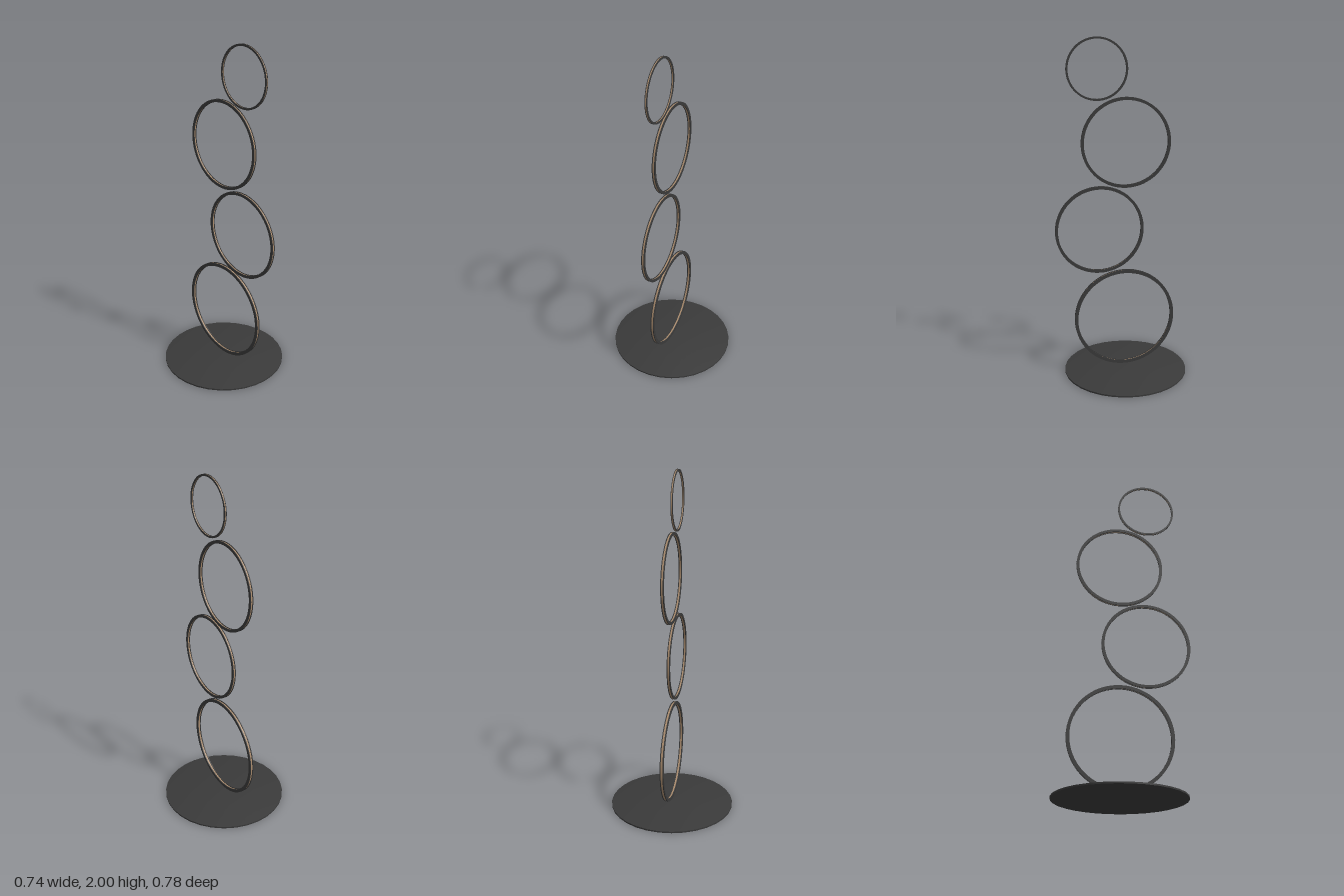
import * as THREE from 'three';
import { toCreasedNormals } from 'three/addons/utils/BufferGeometryUtils.js';

const dark = new THREE.MeshStandardMaterial({ color: 0x3a3a3a });
const bronze = new THREE.MeshStandardMaterial({ color: 0xa88a6c });

function lathe(name, points, segments, material) {
  const profile = points.map(([r, y]) => new THREE.Vector2(r, y));
  const geometry = toCreasedNormals(new THREE.LatheGeometry(profile, segments), 0.6);
  const mesh = new THREE.Mesh(geometry, material);
  mesh.name = name;
  return mesh;
}

// Closed rectangular hoop between two radii and two heights
function hoop(name, inner, outer, low, high, material) {
  return lathe(name, [[inner, low], [outer, low], [outer, high], [inner, high], [inner, low]], 64, material);
}

// Upright ring: two dark side rails with a recessed bronze strip between them
function createRing(name, radius, y, z) {
  const ring = new THREE.Group();
  ring.name = name;
  const half = radius * 0.035, wall = radius * 0.018;
  const inner = radius * 0.938, recess = radius * 0.012;
  ring.add(
    hoop('leftRail', inner, radius, -half, -wall, dark),
    hoop('rightRail', inner, radius, wall, half, dark),
    hoop('lightStrip', inner + recess, radius - recess, -wall, wall, bronze)
  );
  ring.rotation.z = Math.PI / 2;
  ring.position.set(0, y, z);
  return ring;
}

export function createModel() {
  const model = new THREE.Group();
  model.name = 'ringLamp';

  // Shallow round foot with a sloping rim
  const base = lathe('base', [[0, 0], [0.37, 0], [0.37, 0.009], [0.19, 0.035], [0, 0.036]], 32, dark);
  base.position.z = -0.025;
  model.add(base);

  // Stack of rings: radius, centre height, centre depth
  const rings = [
    [0.302, 0.341, -0.02],
    [0.261, 0.898, 0.128],
    [0.261, 1.407, -0.029],
    [0.175, 1.825, 0.136]
  ];
  rings.forEach(([r, y, z], i) => model.add(createRing('ring' + (i + 1), r, y, z)));
  return model;
}
